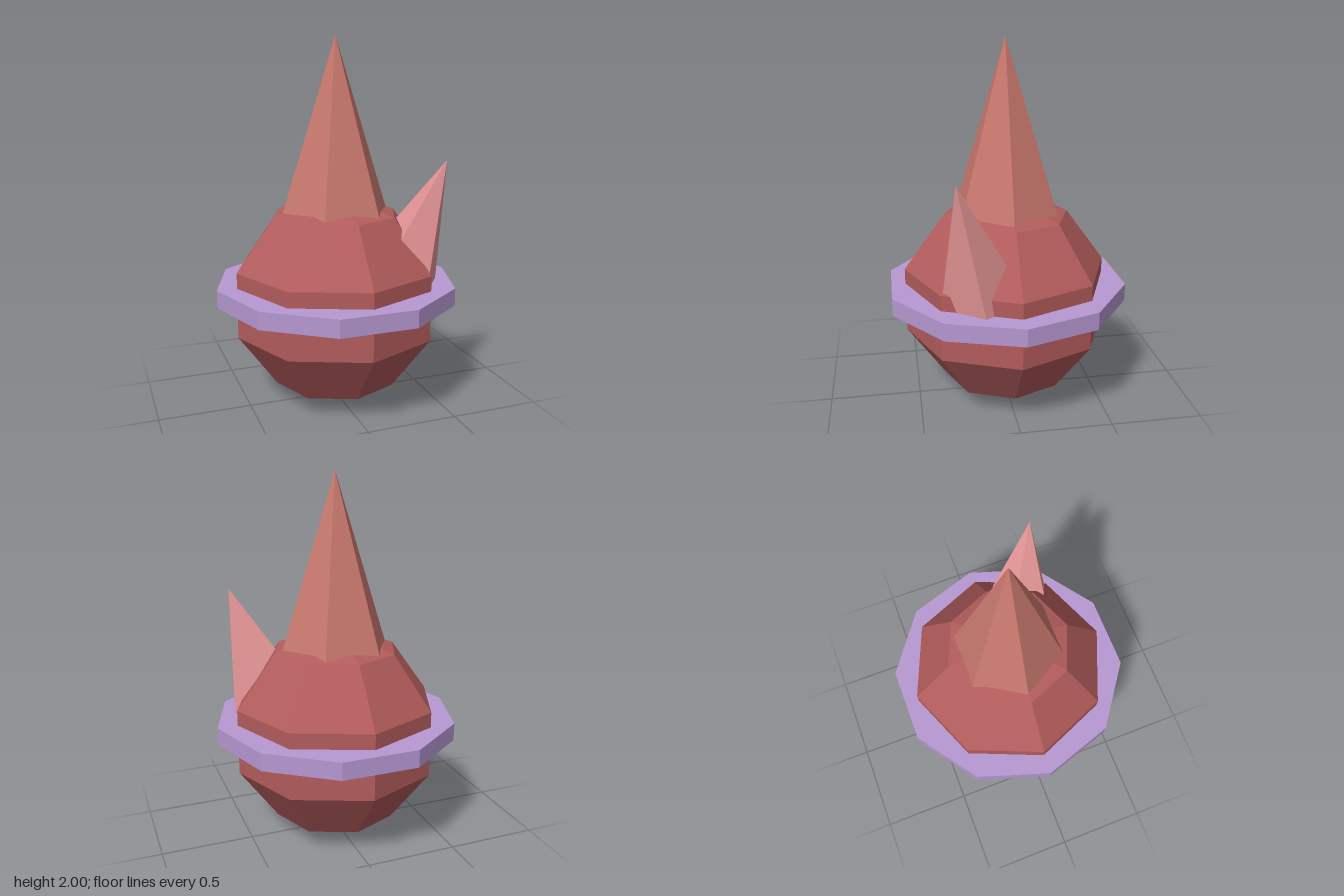
import * as THREE from 'three';

export function createModel() {
  const model = new THREE.Group();

  function addPart(name, geometry, color, y = 0) {
    const material = new THREE.MeshStandardMaterial({ color, flatShading: true });
    const mesh = new THREE.Mesh(geometry, material);
    mesh.name = name;
    mesh.position.y = y;
    model.add(mesh);
    return mesh;
  }

  // Faceted round body standing on its lower pole
  addPart('body', new THREE.SphereGeometry(0.585, 8, 5), 0xb35c5c, 0.587);

  // Ten-sided belt with corners on the x axis
  addPart('belt', new THREE.CylinderGeometry(0.665, 0.665, 0.095, 10).rotateY(Math.PI / 2), 0xb698d2, 0.637);

  // Tall six-sided spike, its base sunk into the body
  addPart('topSpike', new THREE.ConeGeometry(0.322, 1, 6).rotateY(Math.PI / 2), 0xc8786e, 1.5);

  // Small five-sided spike leaning outward from the front left shoulder
  const height = 0.7;
  const tip = new THREE.Vector3(0.505, 1.365, 0.315);
  const lean = new THREE.Vector3(0.289, 0.937, 0.2).normalize();
  const sideSpike = addPart('sideSpike', new THREE.ConeGeometry(0.236, height, 5).rotateY(0.3), 0xe29494);
  sideSpike.quaternion.setFromUnitVectors(new THREE.Vector3(0, 1, 0), lean);
  sideSpike.position.copy(tip).addScaledVector(lean, -height / 2);

  return model;
}
